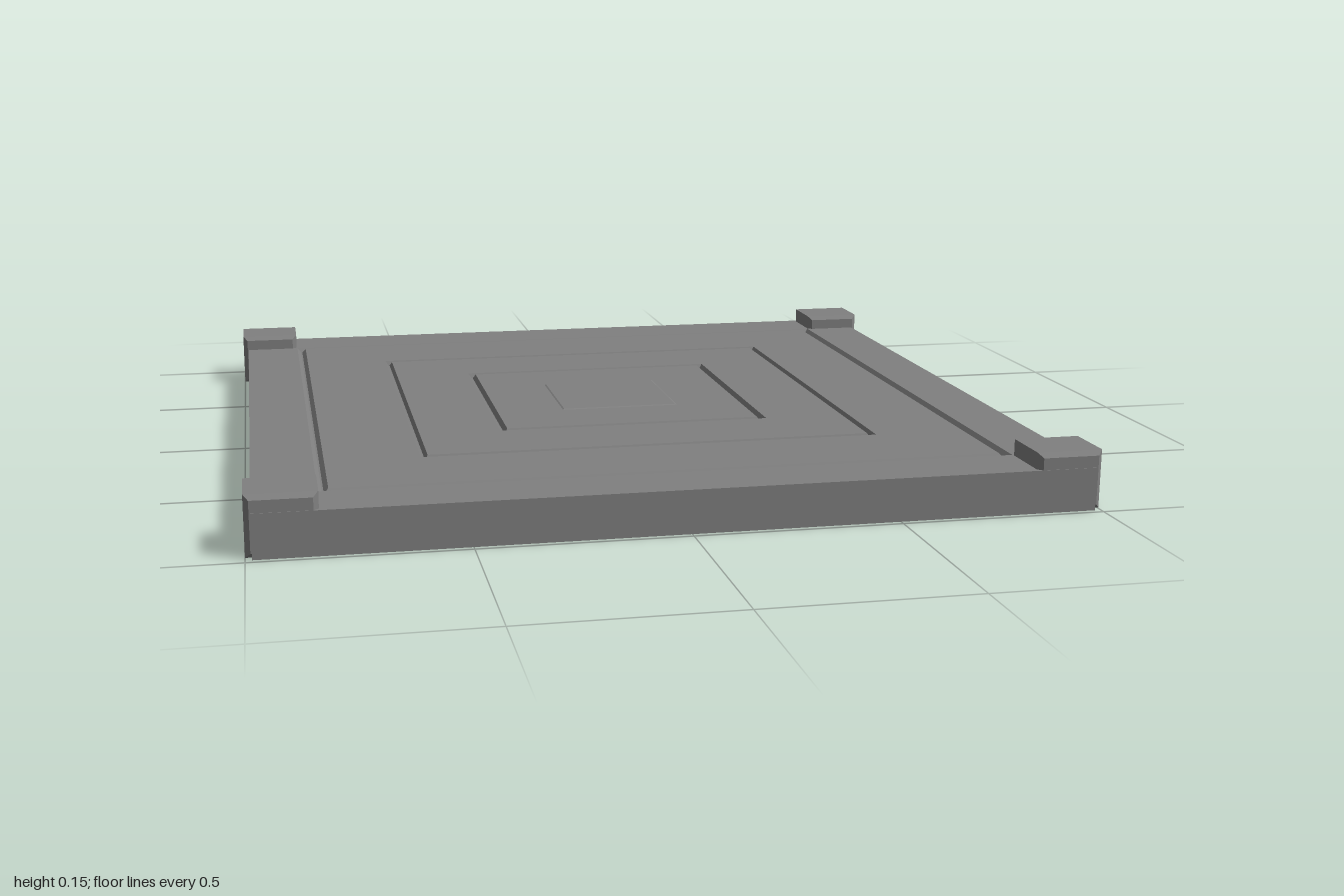
import * as THREE from 'three';

// Box with a single flat chamfer on every edge, centred on the origin
function chamferedBox(w, h, d, b) {
  const x = w / 2 - b, y = h / 2 - b;
  const shape = new THREE.Shape([
    new THREE.Vector2(-x, -y), new THREE.Vector2(x, -y),
    new THREE.Vector2(x, y), new THREE.Vector2(-x, y),
  ]);
  return new THREE.ExtrudeGeometry(shape, {
    depth: d - 2 * b, bevelEnabled: true, bevelSize: b, bevelThickness: b, bevelSegments: 1,
  }).translate(0, 0, b - d / 2);
}

// Square solid: a profile of [half width, height] turned in four flat sides
function squareLathe(profile) {
  const points = profile.map(([r, y]) => new THREE.Vector2(r * Math.SQRT2, y));
  const geometry = new THREE.LatheGeometry(points, 4, Math.PI / 4).toNonIndexed();
  geometry.computeVertexNormals();
  return geometry;
}

export function createModel() {
  const model = new THREE.Group();
  model.name = 'floorTile';
  const stone = new THREE.MeshStandardMaterial({ color: 0x808080 });
  stone.name = 'grey stone';

  // Slab with concentric square grooves and a slightly raised centre panel
  const top = 0.105;
  const profile = [[0, 0], [0.985, 0], [0.985, top]];
  for (const [outer, inner] of [[0.835, 0.81], [0.578, 0.56], [0.353, 0.333]]) {
    const middle = (outer + inner) / 2;
    profile.push([outer, top], [middle + 0.002, top - 0.012], [middle - 0.002, top - 0.012], [inner, top]);
  }
  profile.push([0.157, top], [0.153, top + 0.002], [0, top + 0.002]);
  const slab = new THREE.Mesh(squareLathe(profile), stone);
  slab.name = 'groovedSlab';
  model.add(slab);

  // Corner blocks, standing proud of the slab at the top and sides
  const block = chamferedBox(0.163, 0.144, 0.155, 0.012);
  for (const sx of [-1, 1]) {
    for (const sz of [-1, 1]) {
      const corner = new THREE.Mesh(block, stone);
      corner.name = (sz > 0 ? 'front' : 'back') + (sx > 0 ? 'Left' : 'Right') + 'CornerBlock';
      corner.position.set(sx * 0.9185, 0.074, sz * 0.906);
      model.add(corner);
    }
  }
  return model;
}
